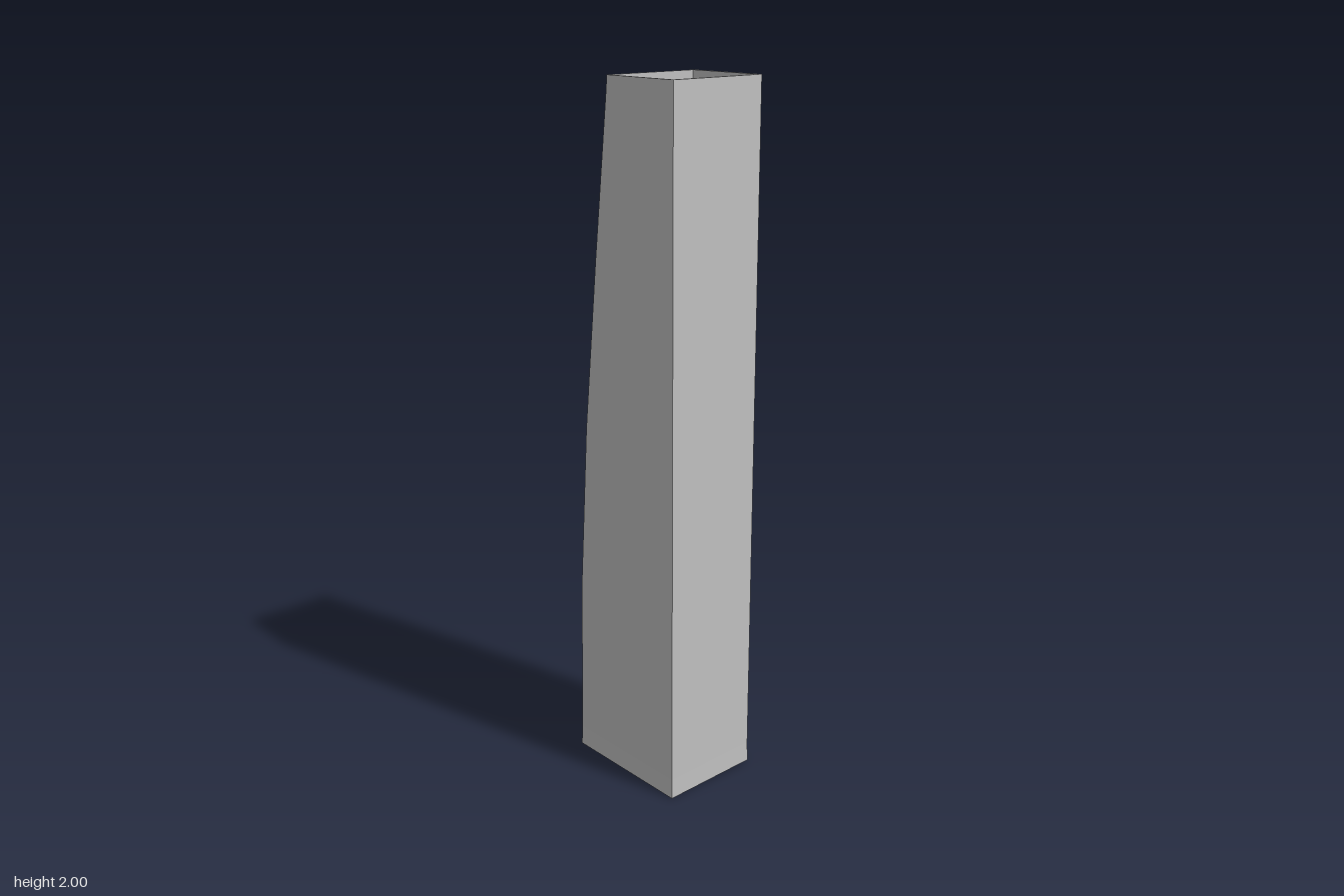
import * as THREE from 'three';

// Corners of a rectangular ring given as [y, half width, back z, front z]
const corners = ([y, h, b, f]) => [[-h, y, f], [h, y, f], [h, y, b], [-h, y, b]];

// Flat-shaded geometry from a list of four-cornered faces
function quads(list) {
  const pos = [];
  for (const [a, b, c, d] of list) pos.push(...a, ...b, ...c, ...a, ...c, ...d);
  const g = new THREE.BufferGeometry();
  g.setAttribute('position', new THREE.Float32BufferAttribute(pos, 3));
  g.computeVertexNormals();
  return g;
}

// Walls joining each ring to the next
function loft(rings) {
  const faces = [];
  for (let i = 0; i < rings.length - 1; i++) {
    const p = corners(rings[i]), q = corners(rings[i + 1]);
    for (let k = 0; k < 4; k++) {
      const n = (k + 1) % 4;
      faces.push([p[k], p[n], q[n], q[k]]);
    }
  }
  return quads(faces);
}

export function createModel() {
  const group = new THREE.Group();
  const concrete = new THREE.MeshStandardMaterial({ color: 0xc0c0c0 });
  concrete.name = 'concrete grey';
  concrete.side = THREE.DoubleSide;
  const add = (name, geometry) => {
    const mesh = new THREE.Mesh(geometry, concrete);
    mesh.name = name;
    group.add(mesh);
  };

  const W = 0.153, F = 0.203;
  const baseTop = [0.06, W, -0.203, F];
  const shaftTop = [1.95, W, -0.052, F];
  const rimOuter = [2, W, -0.047, F];
  const rimInner = [2, 0.145, -0.0435, 0.193];
  const roof = [1.945, 0.145, -0.0435, 0.193];

  // Open skirt at the foot, with the underside set up inside it
  add('baseSkirt', loft([[0, 0.154, -0.205, 0.2045], baseTop]));
  add('underside', quads([corners(baseTop).reverse()]));

  // Shaft with a back that curves forward in four facets
  add('towerShaft', loft([baseTop, [0.55, W, -0.19, F], [1.03, W, -0.156, F], [1.51, W, -0.104, F], shaftTop]));

  // Thin parapet around the sunken roof
  add('parapet', loft([shaftTop, rimOuter, rimInner, roof]));
  add('roof', quads([corners(roof)]));

  return group;
}
